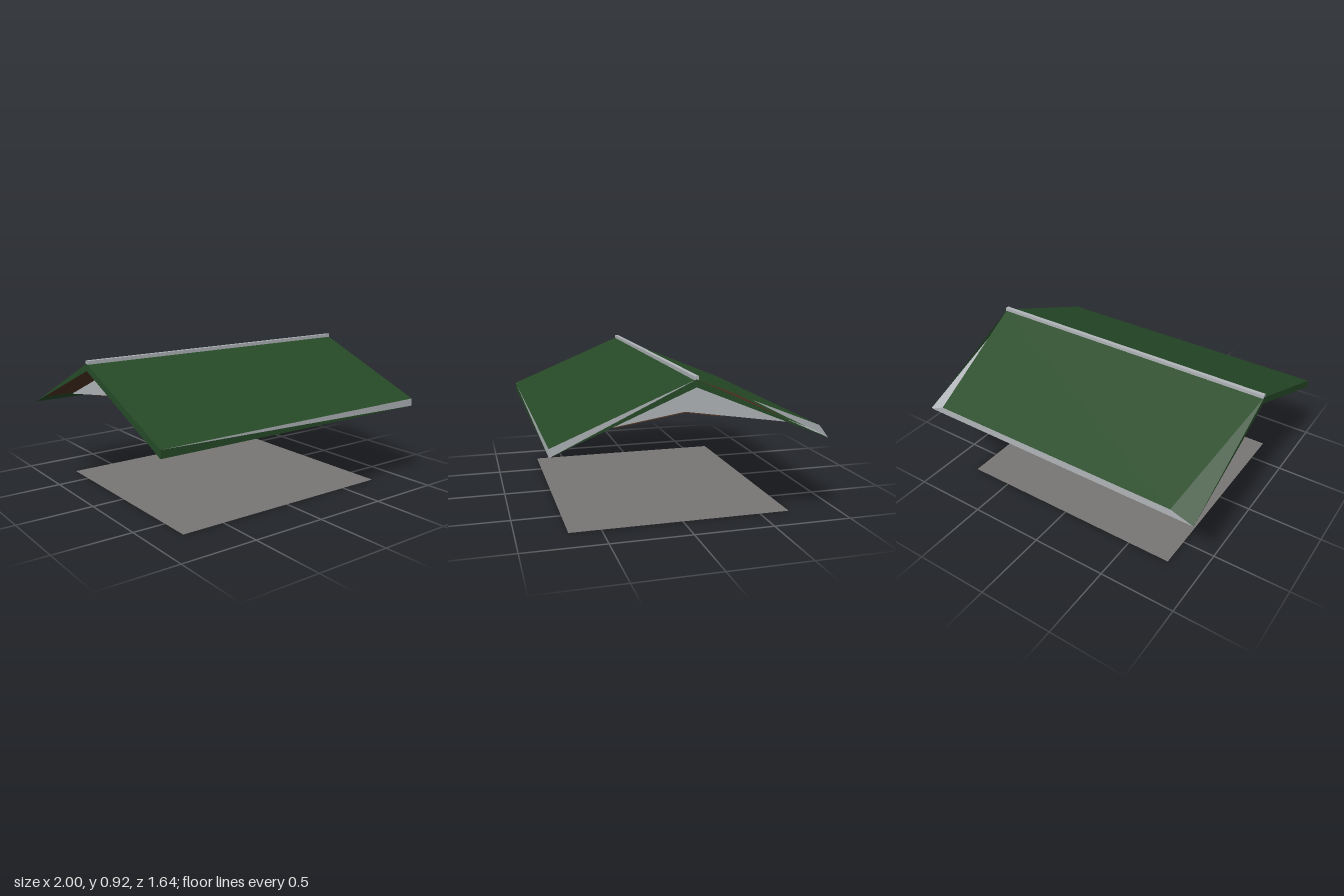
import * as THREE from 'three';

const mat = (name, color) => {
  const m = new THREE.MeshStandardMaterial({ color, side: THREE.DoubleSide });
  m.name = name;
  return m;
};

export function createModel() {
  const group = new THREE.Group();
  const green = mat('roof green', 0x264a27);
  const grey = mat('trim grey', 0xb0b4b8);
  const brown = mat('ceiling brown', 0x4a3222);
  const stone = mat('floor grey', 0x787674);

  const add = (name, geometry, material) => {
    const mesh = new THREE.Mesh(geometry, material);
    mesh.name = name;
    group.add(mesh);
    return mesh;
  };

  // Flat convex panel through its corners
  const panel = (name, material, ...corners) => {
    const pos = [];
    for (let i = 1; i < corners.length - 1; i++) pos.push(...corners[0], ...corners[i], ...corners[i + 1]);
    const g = new THREE.BufferGeometry();
    g.setAttribute('position', new THREE.Float32BufferAttribute(pos, 3));
    g.computeVertexNormals();
    return add(name, g, material);
  };

  // Heights of the roof's underside and of the ceiling at a distance from the ridge
  const under = (t) => 0.86 - 0.415 * t;
  const ceiling = (t) => 0.68 - 0.155 * t;

  const E = 0.818, TOP = 0.57, LOW = 0.52, RIDGE = 0.905;
  const ridgeL = [1, RIDGE, 0], ridgeR = [-1, RIDGE, 0];
  const coreL = [1, 0.86, 0], coreR = [-1, 0.86, 0];

  // Front slope
  const fTopL = [1, TOP, E], fTopR = [-1, TOP, E], fLowL = [1, LOW, E], fLowR = [-1, LOW, E];
  panel('frontSlope', green, ridgeR, fTopR, fTopL, ridgeL);
  panel('frontEaveTrim', grey, fTopR, fLowL, fTopL);
  panel('frontEave', green, fTopR, fLowR, fLowL);
  panel('frontGableTrimLeft', grey, ridgeL, fTopL, fLowL);
  panel('frontGableEdgeLeft', green, ridgeL, fLowL, coreL);
  panel('frontGableEdgeRight', green, ridgeR, coreR, fLowR, fTopR);
  panel('frontUnderside', brown, coreR, coreL, fLowL, fLowR);

  // Back slope, its top corners drawn in from the ends
  const bTopL = [0.89, TOP, -E], bTopR = [-0.85, TOP, -E], bLowL = [1, LOW, -E], bLowR = [-1, LOW, -E];
  panel('backSlope', green, ridgeL, bTopL, bTopR, ridgeR);
  panel('backSlopeEnd', green, ridgeR, bTopR, bLowR);
  panel('backEaveTrim', grey, bTopL, bLowL, bLowR, bTopR);
  panel('backGableEdgeLeft', green, ridgeL, coreL, bLowL);
  panel('backGableEdgeRight', green, ridgeR, bLowR, coreR);
  const S = 0.68;
  panel('backUnderside', brown, coreL, coreR, [-1, under(S), -S], [1, under(S), -S]);
  panel('backUndersideEdge', green, [1, under(S), -S], [-1, under(S), -S], bLowR, bLowL);
  // Lower layer showing beside the drawn-in corner
  const lift = 0.005;
  panel('backCornerLayer', grey, [1, 0.86 + lift, 0], [0.8, 0.86 + lift, 0],
    [0.8, LOW + lift, -E], [1, LOW + lift, -E]);

  // Ridge cap
  const cap = add('ridgeCap', new THREE.BoxGeometry(2, 0.024, 0.026), grey);
  cap.position.y = 0.91;

  // Gable infill and sloping ceiling between them
  const G = 0.8, W = 0.66;
  for (const s of [1, -1]) {
    const side = s > 0 ? 'Left' : 'Right';
    for (const d of [1, -1]) {
      panel('gableInfill' + side, grey, [s * G, 0.86, 0], [s * G, ceiling(W), d * W], [s * G, 0.68, 0]);
    }
  }
  // Ceiling panels: outline in x and distance from the ridge
  const outlines = {
    front: [[0.8, 0], [0.8, 0.42], [-0.8, 0.42], [-0.8, 0]],
    back: [[0.8, 0], [0.8, 0.237], [-0.49, 0.11], [0.3, 0.444], [-0.78, 0.353], [-0.8, 0]],
  };
  for (const [side, outline] of Object.entries(outlines)) {
    const d = side === 'front' ? 1 : -1;
    panel(side + 'Ceiling', grey, [G, 0.68, 0], [-G, 0.68, 0], [-G, ceiling(W), d * W], [G, ceiling(W), d * W]);
    const g = new THREE.ShapeGeometry(new THREE.Shape(outline.map((p) => new THREE.Vector2(...p))));
    const p = g.attributes.position;
    for (let i = 0; i < p.count; i++) {
      const t = p.getY(i);
      p.setXYZ(i, p.getX(i), ceiling(t) - 0.006, d * t);
    }
    g.computeVertexNormals();
    add(side + 'CeilingPanel', g, brown);
  }

  // Floor slab
  const floor = add('floor', new THREE.PlaneGeometry(1.57, 1.39), stone);
  floor.rotation.x = -Math.PI / 2;

  return group;
}
